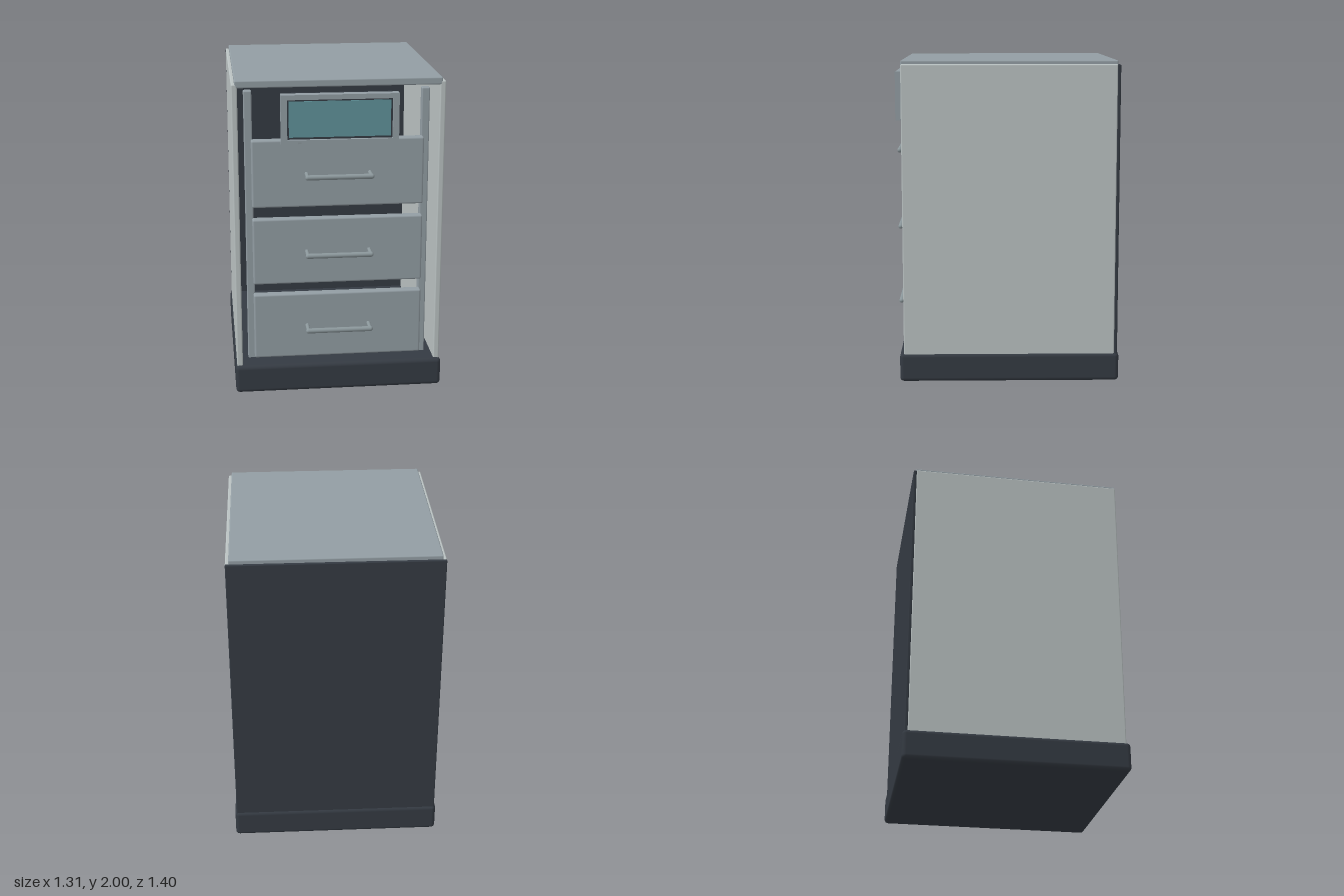
import * as THREE from 'three';
import { RoundedBoxGeometry } from 'three/addons/geometries/RoundedBoxGeometry.js';

const material = (name, color) => {
  const m = new THREE.MeshStandardMaterial({ color });
  m.name = name;
  return m;
};

export function createModel() {
  const grey = material('steel grey', 0x929da3);
  const light = material('pale grey', 0xb9c1c1);
  const dark = material('charcoal', 0x343a42);
  const teal = material('screen teal', 0x5f9299);
  const metal = material('handle metal', 0x8b979b);

  const model = new THREE.Group();
  model.name = 'drawerCabinet';

  const add = (name, geometry, mat, parent = model) => {
    const mesh = new THREE.Mesh(geometry, mat);
    mesh.name = name;
    parent.add(mesh);
    return mesh;
  };

  // Box given by its limits on each axis, with optionally rounded edges
  const box = (name, mat, [x0, x1], [y0, y1], [z0, z1], radius = 0, parent = model) => {
    const size = [x1 - x0, y1 - y0, z1 - z0];
    const geometry = radius
      ? new RoundedBoxGeometry(...size, 3, radius)
      : new THREE.BoxGeometry(...size);
    const mesh = add(name, geometry, mat, parent);
    mesh.position.set((x0 + x1) / 2, (y0 + y1) / 2, (z0 + z1) / 2);
    return mesh;
  };

  // Hollow carcass on a plinth
  box('plinth', dark, [-0.655, 0.655], [0, 0.18], [-0.7, 0.67], 0.025);
  box('backPanel', dark, [-0.645, 0.645], [0.16, 1.975], [-0.69, -0.67], 0.006);
  box('topPanel', grey, [-0.625, 0.625], [1.955, 2], [-0.675, 0.645], 0.008);
  for (const s of [-1, 1]) {
    const side = s < 0 ? 'right' : 'left';
    box(side + 'SidePanel', light, [s * 0.627 - 0.018, s * 0.627 + 0.018], [0.16, 1.978], [-0.672, 0.645], 0.008);
    box(side + 'FrontRail', grey, [s * 0.545 - 0.025, s * 0.545 + 0.025], [0.17, 1.915], [0.475, 0.525], 0.008);
  }

  // Three drawer fronts, each with a bar handle on two posts
  [0.2, 0.695, 1.195].forEach((y, i) => {
    const drawer = new THREE.Group();
    drawer.name = 'drawer' + (i + 1);
    model.add(drawer);
    box('drawerFront', grey, [-0.53, 0.53], [y, y + 0.425], [0.525, 0.585], 0.012, drawer);

    const handleY = y + 0.213;
    const bar = add('handleBar', new THREE.CapsuleGeometry(0.016, 0.39, 4, 16), metal, drawer);
    bar.rotation.z = Math.PI / 2;
    bar.position.set(0, handleY, 0.684);
    for (const x of [-0.195, 0.195]) {
      const post = add('handlePost', new THREE.CylinderGeometry(0.012, 0.012, 0.1, 16), metal, drawer);
      post.rotation.x = Math.PI / 2;
      post.position.set(x, handleY, 0.634);
    }
  });

  // Display unit above the drawers
  const display = new THREE.Group();
  display.name = 'displayUnit';
  model.add(display);
  box('displayHousing', dark, [-0.34, 0.34], [1.63, 1.89], [0.48, 0.655], 0, display);

  const rectangle = (Kind, w, h) => new Kind([[-w, -h], [w, -h], [w, h], [-w, h]].map(p => new THREE.Vector2(...p)));
  const outline = rectangle(THREE.Shape, 0.355, 0.152);
  outline.holes.push(rectangle(THREE.Path, 0.318, 0.122));
  const frame = add('displayFrame', new THREE.ExtrudeGeometry(outline, { depth: 0.058, bevelEnabled: false }), grey, display);
  frame.position.set(0, 1.767, 0.64);

  box('screenSurround', dark, [-0.32, 0.32], [1.643, 1.891], [0.65, 0.675], 0, display);
  box('screen', teal, [-0.307, 0.307], [1.658, 1.877], [0.674, 0.68], 0, display);
  box('statusButton', metal, [-0.255, -0.235], [1.623, 1.633], [0.695, 0.703], 0, display);

  return model;
}
